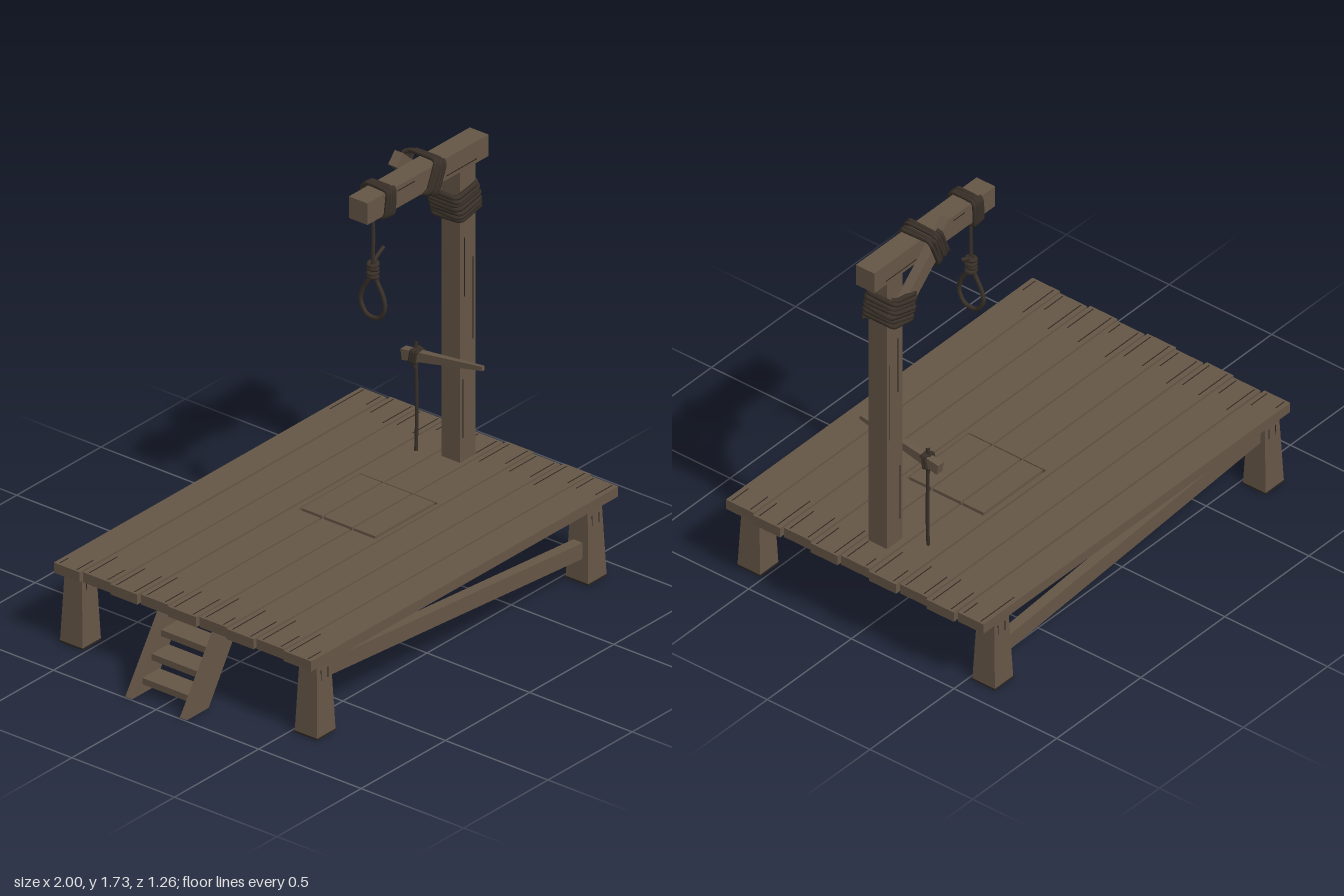
import * as THREE from 'three';

const wood = new THREE.MeshStandardMaterial({ color: 0x665747 });
wood.name = 'brown wood';
const dark = new THREE.MeshStandardMaterial({ color: 0x2c2520 });
dark.name = 'dark wood cracks';
const ropeMat = new THREE.MeshStandardMaterial({ color: 0x3a3129 });
ropeMat.name = 'dark rope';

const V = (x, y, z) => new THREE.Vector3(x, y, z);
let seed = 7;
const rand = () => (seed = (seed * 16807) % 2147483647) / 2147483647;

function add(parent, name, geo, mat, x = 0, y = 0, z = 0) {
  const m = new THREE.Mesh(geo, mat);
  m.name = name;
  m.position.set(x, y, z);
  parent.add(m);
  return m;
}

// Box given by its min and max on every axis
function box(parent, name, x0, x1, y0, y1, z0, z1, mat = wood) {
  return add(parent, name, new THREE.BoxGeometry(x1 - x0, y1 - y0, z1 - z0), mat,
    (x0 + x1) / 2, (y0 + y1) / 2, (z0 + z1) / 2);
}

// Square tapered timber along y, flat faced
function taper(top, bottom, height) {
  const g = new THREE.CylinderGeometry(top * Math.SQRT1_2, bottom * Math.SQRT1_2, height, 4)
    .rotateY(Math.PI / 4).toNonIndexed();
  g.computeVertexNormals();
  return g;
}

function rope(parent, name, pts, r, closed = false, tension = 0.5) {
  const curve = new THREE.CatmullRomCurve3(pts, closed, 'catmullrom', tension);
  return add(parent, name, new THREE.TubeGeometry(curve, pts.length * 6, r, 6, closed), ropeMat);
}

// Rope lashing: a rectangular spiral around local y, with slightly uneven turns
function lashing(parent, name, hx, hz, turns, pitch, r) {
  const pts = [];
  const corners = [[1, 0.75], [0.75, 1], [-0.75, 1], [-1, 0.75], [-1, -0.75], [-0.75, -1], [0.75, -1], [1, -0.75]];
  for (let t = 0; t < turns; t++) {
    const s = 1 + (rand() - 0.5) * 0.08;
    corners.forEach(([a, b], i) => pts.push(
      V(a * hx * s, (t + i / 8 - turns / 2) * pitch + (rand() - 0.5) * pitch * 0.5, b * hz * s)));
  }
  return rope(parent, name, pts, r, false, 0.2);
}

function buildDeck(root) {
  const deck = new THREE.Group();
  deck.name = 'deck';
  root.add(deck);
  const edges = [[-0.63, -0.505], [-0.495, -0.362], [-0.354, -0.223], [-0.214, -0.081], [-0.073, 0.064],
    [0.072, 0.203], [0.211, 0.343], [0.351, 0.483], [0.491, 0.625]];
  const y0 = 0.307, y1 = 0.35;
  const hole = { x0: 0.075, x1: 0.447, z0: -0.192, z1: 0.187 };
  edges.forEach(([z0, z1], i) => {
    const x0 = i % 2 ? -0.83 : -0.84, x1 = i % 2 ? 0.995 : 0.983;
    if (i < 3 || i > 5) {
      box(deck, 'plank', x0, x1, y0, y1, z0, z1);
    } else {
      // planks cut around the trapdoor
      box(deck, 'plankRight', x0, hole.x0, y0, y1, z0, z1);
      box(deck, 'plankLeft', hole.x1, x1, y0, y1, z0, z1);
      if (z0 < hole.z0) box(deck, 'plankStrip', hole.x0, hole.x1, y0, y1, z0, hole.z0);
      if (z1 > hole.z1) box(deck, 'plankStrip', hole.x0, hole.x1, y0, y1, hole.z1, z1);
      box(deck, 'trapdoorPlank', hole.x0 + 0.01, hole.x1 - 0.01, y0, y1 + 0.004,
        Math.max(z0, hole.z0 + 0.01), Math.min(z1, hole.z1 - 0.01));
    }
    // cracks running in from the plank ends
    for (const f of [0.15, 0.82]) {
      const z = z0 + (z1 - z0) * f;
      const a = 0.06 + rand() * 0.16, b = 0.06 + rand() * 0.16;
      box(deck, 'crack', x0 + 0.01, x0 + a, y0 - 0.001, y1 + 0.001, z, z + 0.004, dark);
      box(deck, 'crack', x1 - b, x1 - 0.01, y0 - 0.001, y1 + 0.001, z, z + 0.004, dark);
    }
  });
  // trapdoor hinge and latch underneath
  box(deck, 'hinge', 0.035, 0.12, 0.293, 0.308, -0.03, 0.03);
  box(deck, 'latch', 0.40, 0.50, 0.288, 0.307, -0.018, 0.018);
}

function buildSupports(root) {
  for (const sz of [1, -1]) {
    for (const x of [-0.752, 0.857]) {
      add(root, 'leg', taper(0.084, 0.11, 0.307), wood, x, 0.1535, sz * 0.572);
      box(root, 'legFoot', x - 0.0555, x + 0.0555, 0, 0.007, sz * 0.572 - 0.0555, sz * 0.572 + 0.0555, dark);
      for (const s of [1, -1])
        box(root, 'legCrack', x + 0.02 * s, x + 0.02 * s + 0.004, 0.19, 0.28,
          sz * 0.572 - 0.045, sz * 0.572 + 0.045, dark);
    }
    // slanted side rail between the legs
    const rail = add(root, 'sideRail', new THREE.BoxGeometry(1.58, 0.068, 0.045), wood, 0.05, 0.196, sz * 0.572);
    rail.rotation.z = -Math.atan2(0.12, 1.52);
  }
}

function buildLadder(root) {
  const ladder = new THREE.Group();
  ladder.name = 'ladder';
  root.add(ladder);
  const side = new THREE.Shape([[-1, 0.005], [-0.87, 0.005], [-0.685, 0.3], [-0.805, 0.3]]
    .map(([x, y]) => new THREE.Vector2(x, y)));
  const geo = new THREE.ExtrudeGeometry(side, { depth: 0.034, bevelEnabled: false });
  for (const z of [-0.15, 0.116]) add(ladder, 'stringer', geo, wood, 0, 0, z);
  for (let i = 0; i < 3; i++)
    box(ladder, 'step', -0.94 + i * 0.055, -0.84 + i * 0.055, 0.045 + i * 0.08, 0.072 + i * 0.08, -0.12, 0.12);
}

function buildFrame(root) {
  box(root, 'post', 0.75, 0.842, 0.35, 1.592, -0.045, 0.045);
  box(root, 'beam', 0.2, 0.918, 1.59, 1.682, -0.045, 0.045);
  const brace = add(root, 'cornerBrace', new THREE.BoxGeometry(0.43, 0.06, 0.04), wood, 0.662, 1.568, -0.066);
  brace.rotation.z = Math.atan2(-0.28, 0.31);
  // cracks in the post and beam
  for (const [x, a, b] of [[0.765, 0.45, 0.7], [0.825, 0.85, 1.2], [0.775, 1.05, 1.3]])
    box(root, 'postCrack', x, x + 0.004, a, b, -0.046, 0.046, dark);
  for (const [y, a, b] of [[1.605, 0.67, 0.85], [1.66, 0.38, 0.48]])
    box(root, 'beamCrack', a, b, y, y + 0.004, -0.046, 0.046, dark);

  const end = lashing(root, 'beamLashing', 0.057, 0.059, 4, 0.014, 0.009);
  end.position.set(0.32, 1.637, -0.002);
  end.rotation.z = Math.PI / 2 - 0.08;
  const mid = lashing(root, 'braceLashing', 0.067, 0.073, 5, 0.015, 0.009);
  mid.position.set(0.59, 1.636, -0.018);
  mid.rotation.z = Math.PI / 2 - 0.42;
  const low = lashing(root, 'postLashing', 0.068, 0.07, 7, 0.018, 0.011);
  low.position.set(0.792, 1.455, -0.016);
  low.rotation.z = 0.22;
}

function buildHangingRope(root) {
  const x = 0.288;
  rope(root, 'hangingRope', [V(x, 1.59, 0), V(x + 0.002, 1.49, 0), V(x, 1.36, 0)], 0.008);
  const loop = [[0, 1.345], [0.022, 1.30], [0.05, 1.25], [0.058, 1.20], [0.035, 1.155], [0, 1.145],
    [-0.035, 1.155], [-0.06, 1.20], [-0.05, 1.25], [-0.022, 1.30]];
  rope(root, 'ropeLoop', loop.map(([z, y]) => V(x, y, z)), 0.009, true);
  // knot coils and loose tail
  for (let i = 0; i < 4; i++) {
    const coil = add(root, 'knotCoil', new THREE.TorusGeometry(0.017, 0.01, 6, 10), ropeMat, x, 1.322 + i * 0.017, 0);
    coil.rotation.set(Math.PI / 2, (i % 2 ? 1 : -1) * 0.2, 0);
  }
  rope(root, 'ropeTail', [V(x, 1.375, 0), V(x + 0.03, 1.393, -0.005), V(x + 0.075, 1.412, -0.01)], 0.008);
}

function buildLever(root) {
  const from = V(0.73, 0.805, 0.175), to = V(0.73, 0.742, -0.212);
  const dir = to.clone().sub(from);
  const lever = add(root, 'lever', taper(0.046, 0.018, dir.length()), wood);
  lever.geometry.scale(0.75, 1, 1);
  lever.position.copy(from).add(to).multiplyScalar(0.5);
  lever.quaternion.setFromUnitVectors(V(0, 1, 0), dir.normalize());
  // lashing on the lever and the pull rope down to the latch
  const wrap = lashing(root, 'leverLashing', 0.023, 0.028, 3, 0.011, 0.006);
  wrap.position.set(0.73, 0.752, -0.152);
  wrap.rotation.x = Math.PI / 2 + 0.16;
  rope(root, 'leverKnot', [V(0.732, 0.815, -0.152), V(0.728, 0.78, -0.155), V(0.712, 0.74, -0.152), V(0.722, 0.7, -0.15)], 0.008);
  rope(root, 'pullRope', [V(0.727, 0.73, -0.15), V(0.727, 0.5, -0.147), V(0.722, 0.34, -0.147),
    V(0.715, 0.295, -0.142), V(0.66, 0.285, -0.11), V(0.56, 0.288, -0.05), V(0.48, 0.293, 0)], 0.007);
  add(root, 'latchKnot', new THREE.SphereGeometry(0.014, 8, 6), ropeMat, 0.485, 0.293, 0);
}

export function createModel() {
  const root = new THREE.Group();
  root.name = 'woodenPlatform';
  buildDeck(root);
  buildSupports(root);
  buildLadder(root);
  buildFrame(root);
  buildHangingRope(root);
  buildLever(root);
  return root;
}
